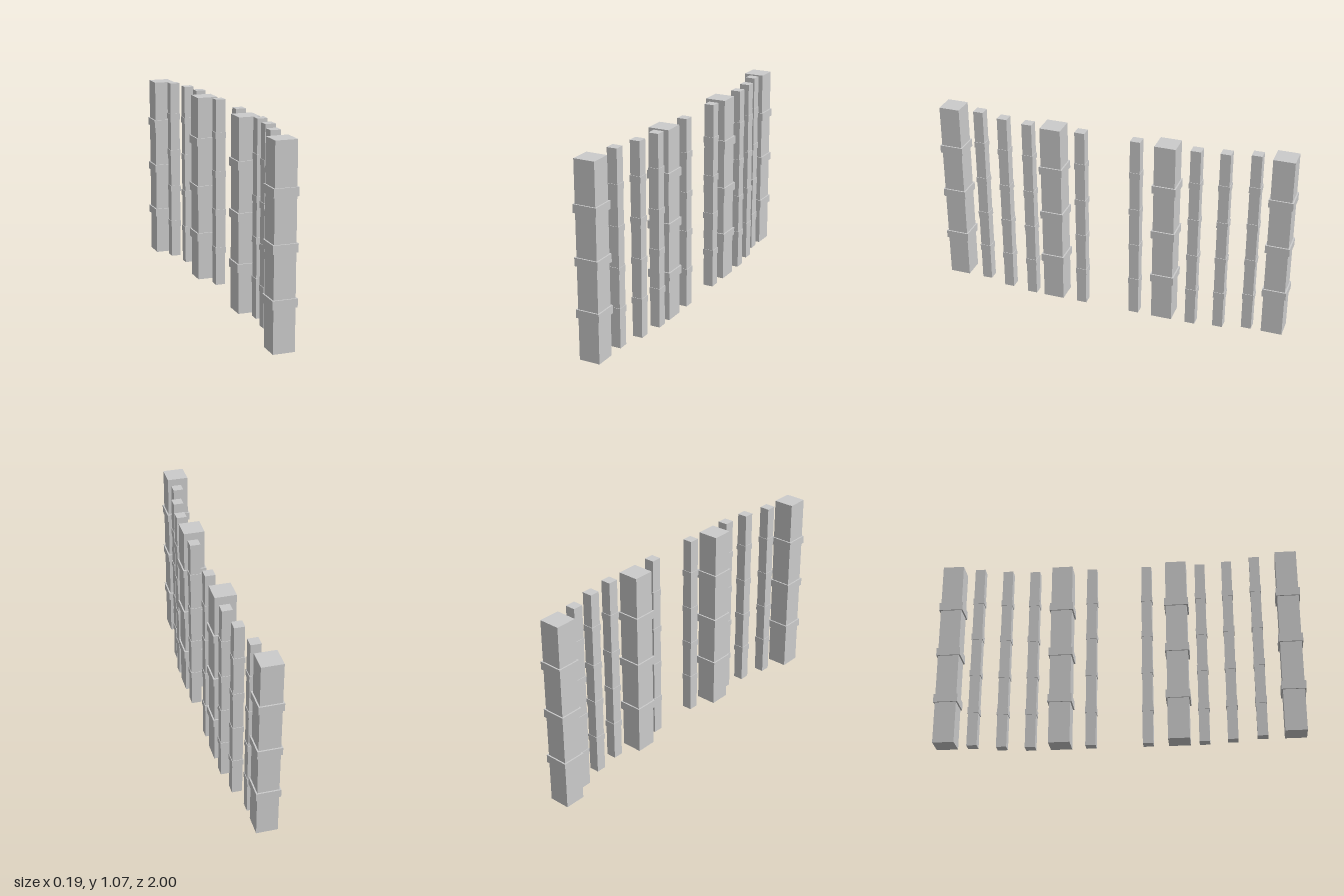
import * as THREE from 'three';

const material = new THREE.MeshStandardMaterial({ color: 0xcccccc, flatShading: true });

function addBox(parent, name, width, height, y) {
  const mesh = new THREE.Mesh(new THREE.BoxGeometry(width, height, width), material);
  mesh.name = name;
  mesh.position.y = y;
  parent.add(mesh);
}

// A square column standing on the ground, wrapped by evenly spaced bands
function makeColumn(name, x, z, { width, height, bandWidth, bandHeight, bandYs }) {
  const column = new THREE.Group();
  column.name = name;
  column.position.set(x, 0, z);
  addBox(column, 'shaft', width, height, height / 2);
  for (const y of bandYs) addBox(column, 'band', bandWidth, bandHeight, y);
  return column;
}

const POST = {
  width: 0.116, height: 1.06,
  bandWidth: 0.132, bandHeight: 0.045, bandYs: [0.254, 0.531, 0.808],
};
const BALUSTER = {
  width: 0.056, height: 1.068,
  bandWidth: 0.062, bandHeight: 0.035, bandYs: [0.204, 0.425, 0.646, 0.867],
};

export function createModel() {
  const group = new THREE.Group();
  group.name = 'bandedColumns';

  // Thick posts, two outer and two inner
  for (const side of [1, -1]) {
    group.add(makeColumn('outerPost', -0.03, side * 0.934, POST));
    group.add(makeColumn('innerPost', 0.027, side * 0.32, POST));
  }

  // Slim balusters following a shallow curve
  const balusters = [
    [0, 0.761], [0.037, 0.605], [0.056, 0.454], [0.056, 0.152],
    [0.056, -0.157], [0.056, -0.485], [0.037, -0.638], [0, -0.792],
  ];
  for (const [x, z] of balusters) group.add(makeColumn('baluster', x, z, BALUSTER));

  return group;
}
